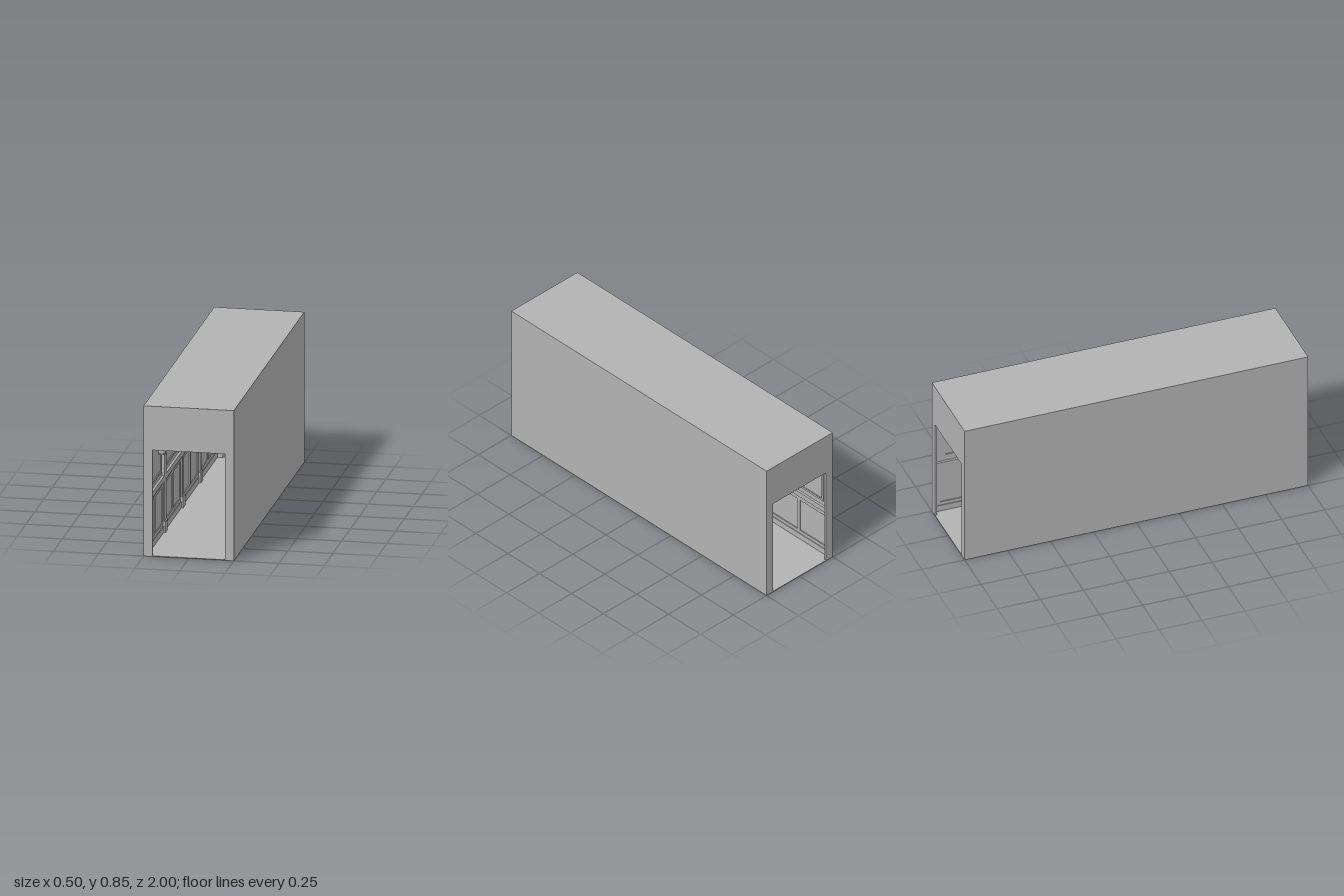
import * as THREE from 'three';

const grey = new THREE.MeshStandardMaterial({ color: 0xb2b2b2 });
grey.name = 'plain grey';

const WALL = 0.24;   // inner wall plane
const FLOOR = 0.004; // floor height
const END = 0.012;   // thickness of the end walls

function add(parent, name, geometry) {
  const mesh = new THREE.Mesh(geometry, grey);
  mesh.name = name;
  parent.add(mesh);
  return mesh;
}

// box given by its limits on each axis
function block(parent, name, x0, x1, y0, y1, z0, z1) {
  const mesh = add(parent, name, new THREE.BoxGeometry(x1 - x0, y1 - y0, z1 - z0));
  mesh.position.set((x0 + x1) / 2, (y0 + y1) / 2, (z0 + z1) / 2);
  return mesh;
}

const rect = (x0, x1, y0, y1) => [[x0, y0], [x1, y0], [x1, y1], [x0, y1]]
  .map(([x, y]) => new THREE.Vector2(x, y));

function plate(outline, holes, depth) {
  const shape = new THREE.Shape(outline);
  holes.forEach(h => shape.holes.push(new THREE.Path(h)));
  return new THREE.ExtrudeGeometry(shape, { depth, bevelEnabled: false });
}

// raised frame lying on the -x wall, facing into the corridor
function wallFrame(parent, name, outline, holes, depth, z) {
  const mesh = add(parent, name, plate(outline, holes, depth));
  mesh.rotation.y = Math.PI / 2;
  mesh.position.set(-WALL, 0, z);
}

function wallLamp(z) {
  const lamp = new THREE.Group();
  lamp.name = 'wallLamp';
  const cx = -0.197;
  block(lamp, 'lampBackplate', -WALL, -WALL + 0.005, 0.55, 0.63, -0.016, 0.016);
  block(lamp, 'lampArm', -WALL, cx + 0.008, 0.604, 0.614, -0.005, 0.005);
  const cylinder = (name, r, y0, y1) => {
    const mesh = add(lamp, name, new THREE.CylinderGeometry(r, r, y1 - y0, 16));
    mesh.position.set(cx, (y0 + y1) / 2, 0);
  };
  cylinder('lampStem', 0.008, 0.588, 0.606);
  cylinder('lampTopCap', 0.022, 0.583, 0.589);
  cylinder('lampShade', 0.019, 0.517, 0.583);
  cylinder('lampBottomCap', 0.022, 0.511, 0.517);
  lamp.position.z = z;
  return lamp;
}

// panelling, pilasters and lamps of one long wall
function wallSide(name) {
  const side = new THREE.Group();
  side.name = name;
  const end = 1 - END;
  block(side, 'baseboard', -WALL, -0.23, FLOOR, 0.04, -end, end);
  block(side, 'chairRail', -WALL, -0.226, 0.295, 0.325, -end, end);
  block(side, 'chairRailMoulding', -WALL, -0.232, 0.28, 0.295, -end, end);

  for (const z of [-0.75, -0.25, 0.25, 0.75]) {
    wallFrame(side, 'lowerPanelFrame', rect(-0.235, 0.235, 0.04, 0.28),
      [rect(-0.21, -0.009, 0.06, 0.265), rect(0.009, 0.21, 0.06, 0.265)], 0.006, z);
    wallFrame(side, 'upperPanelMoulding', rect(-0.19, 0.19, 0.355, 0.725),
      [rect(-0.177, 0.177, 0.368, 0.712)], 0.006, z);
    side.add(wallLamp(z));
  }
  for (const z of [-0.5, 0, 0.5]) {
    block(side, 'pilasterBase', -WALL, -0.22, FLOOR, 0.065, z - 0.03, z + 0.03);
    block(side, 'pilasterShaft', -WALL, -0.226, 0.065, 0.77, z - 0.025, z + 0.025);
  }
  return side;
}

export function createModel() {
  const group = new THREE.Group();
  group.name = 'corridor';

  // long shell: a rectangle with a chamfered-ceiling passage through it
  const passage = [[-WALL, FLOOR], [WALL, FLOOR], [WALL, 0.77], [0.17, 0.84], [-0.17, 0.84], [-WALL, 0.77]]
    .map(([x, y]) => new THREE.Vector2(x, y));
  const shell = add(group, 'shell', plate(rect(-0.25, 0.25, 0, 0.85), [passage], 2 - 2 * END));
  shell.position.z = -1 + END;

  // end walls with doorways
  for (const z of [-1, 1 - END]) {
    const wall = add(group, 'doorwayWall',
      plate(rect(-0.25, 0.25, 0, 0.85), [rect(-0.2, 0.2, FLOOR, 0.602)], END));
    wall.position.z = z;
  }

  // both long walls
  const right = wallSide('rightWall');
  const left = wallSide('leftWall');
  left.rotation.y = Math.PI;
  group.add(right, left);

  // ceiling ribs joining the pilasters
  const rib = [[-WALL, 0.77], [-0.226, 0.764], [-0.164, 0.826], [0.164, 0.826], [0.226, 0.764],
    [WALL, 0.77], [0.17, 0.84], [-0.17, 0.84]].map(([x, y]) => new THREE.Vector2(x, y));
  for (const z of [-0.5, 0, 0.5]) {
    add(group, 'ceilingRib', plate(rib, [], 0.05)).position.z = z - 0.025;
  }
  return group;
}
